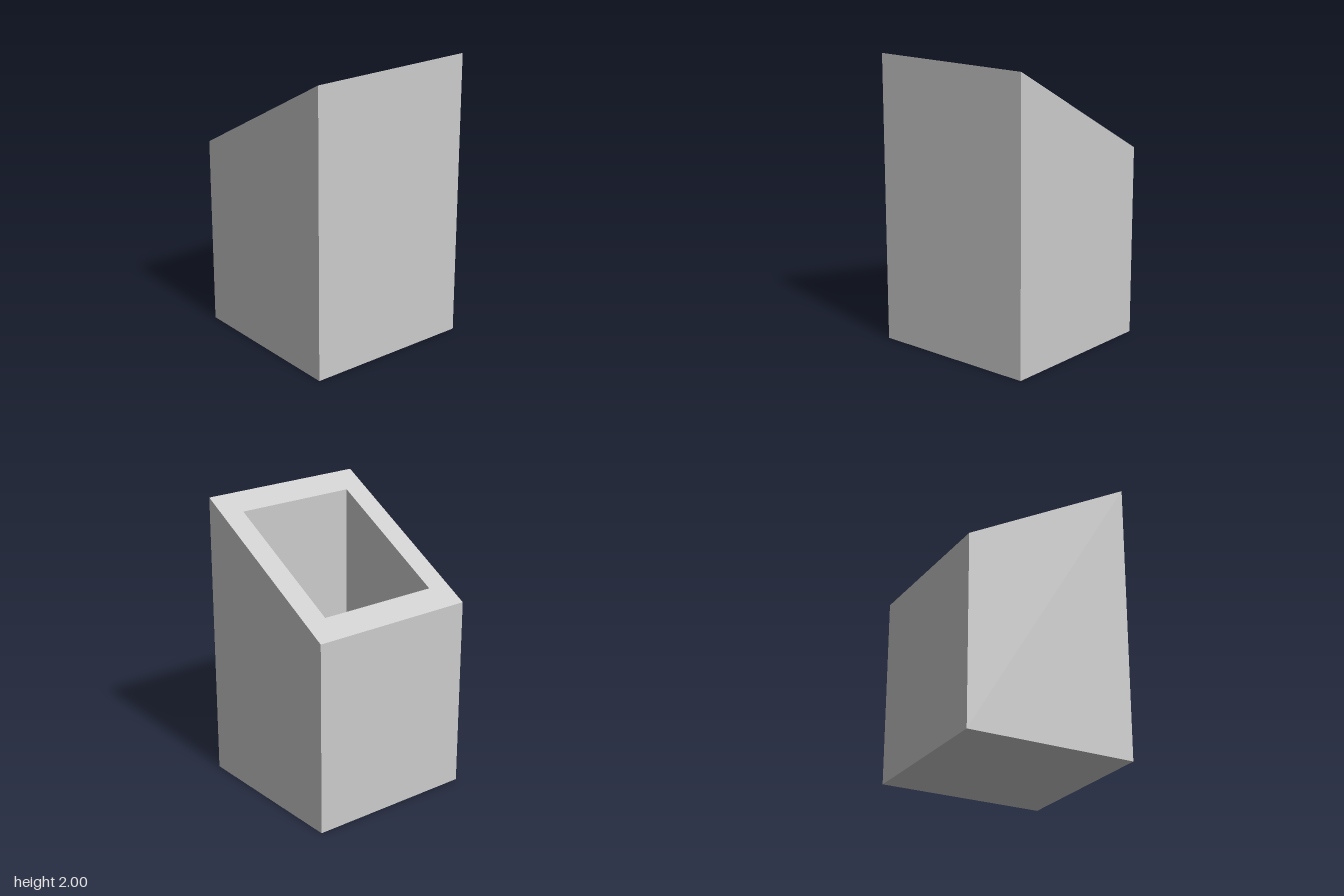
import * as THREE from 'three';

const HALF = 0.6;    // half of the outer width
const INNER = 0.44;  // half of the cavity width
const FLOOR = 0.16;  // thickness of the closed bottom

// Height of the slanted rim, rising from 1.33 at -x to 2 at +x
const rimY = (x) => 5 / 3 + (x / HALF) / 3;

// Square cross-section, counter-clockwise seen from above
const ring = (half, height) =>
  [[1, 1], [1, -1], [-1, -1], [-1, 1]].map(([sx, sz]) =>
    new THREE.Vector3(sx * half, height(sx * half), sz * half));

export function createModel() {
  // Sections run up the outside, across the rim and down into the cavity
  const rings = [
    ring(HALF, () => 0),
    ring(HALF, rimY),
    ring(INNER, rimY),
    ring(INNER, () => FLOOR),
  ];

  const points = [];
  const quad = (a, b, c, d) => points.push(a, b, c, a, c, d);

  // Walls and rim
  for (let r = 0; r < rings.length - 1; r++) {
    const lower = rings[r], upper = rings[r + 1];
    for (let i = 0; i < 4; i++) {
      const j = (i + 1) % 4;
      quad(lower[i], lower[j], upper[j], upper[i]);
    }
  }
  // Underside and cavity floor
  quad(...[...rings[0]].reverse());
  quad(...rings[3]);

  const geometry = new THREE.BufferGeometry().setFromPoints(points);
  geometry.computeVertexNormals();

  const body = new THREE.Mesh(
    geometry,
    new THREE.MeshStandardMaterial({ color: 0xcccccc, flatShading: true })
  );
  body.name = 'slantedContainer';

  const group = new THREE.Group();
  group.name = 'container';
  group.add(body);
  return group;
}
